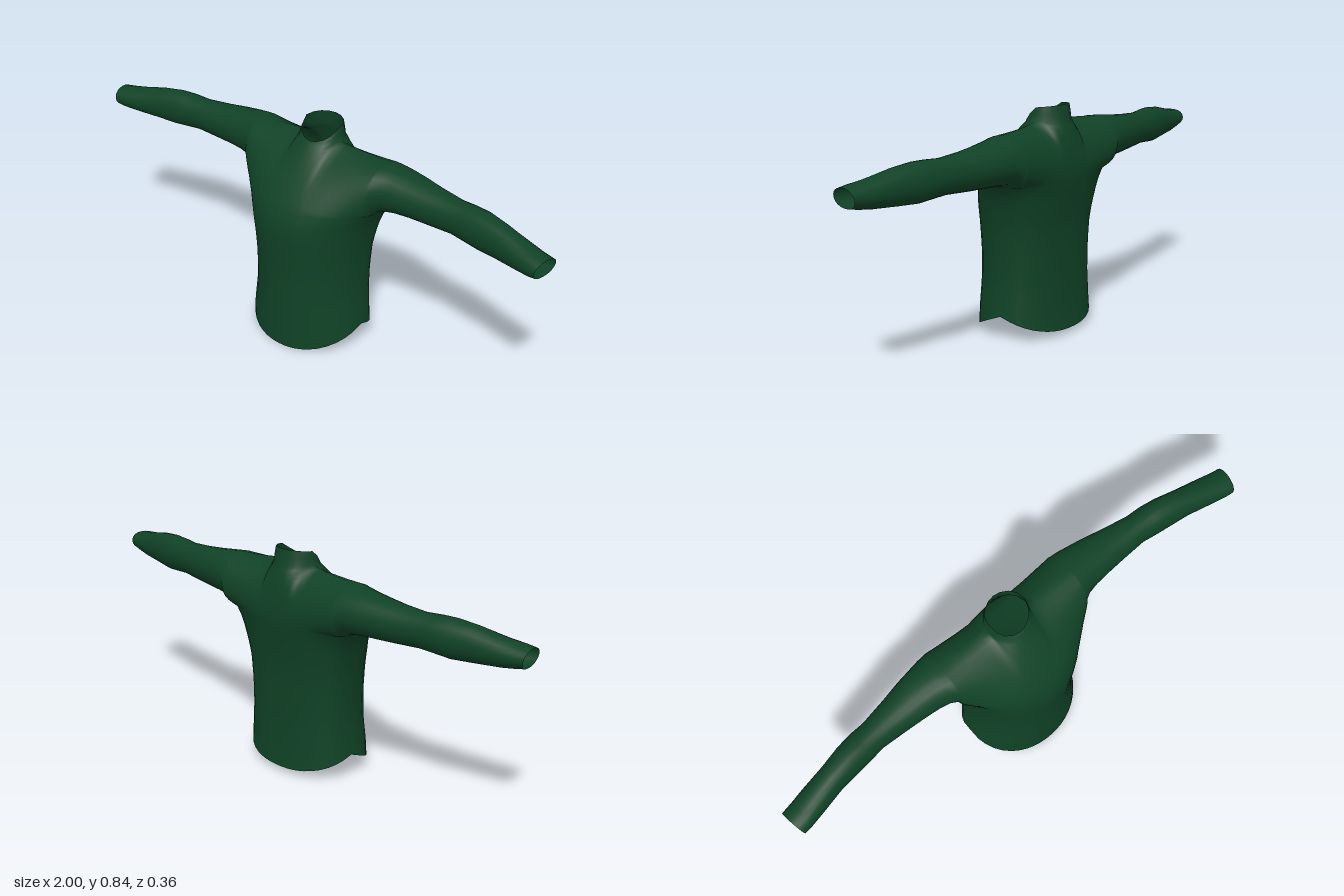
import * as THREE from 'three';
import { mergeVertices } from 'three/addons/utils/BufferGeometryUtils.js';

const lerp = THREE.MathUtils.lerp;
const V = (x, y, z) => new THREE.Vector3(x, y, z);
const ARMPIT = 0.575, NECK = 0.3;

// Torso profile: height, half width, front z, back z, side seam z
const TORSO = [
  [0, 0.235, 0.177, -0.173, -0.015], [0.08, 0.234, 0.176, -0.163, -0.02],
  [0.2, 0.221, 0.175, -0.156, -0.04], [0.3, 0.222, 0.175, -0.155, -0.045],
  [0.4, 0.23, 0.18, -0.157, -0.05], [0.48, 0.247, 0.184, -0.167, -0.06],
  [0.53, 0.262, 0.176, -0.174, -0.065], [ARMPIT, 0.29, 0.158, -0.181, -0.07],
];
// Sleeve sections: x, bottom y, top y, centre z, front z, back z
const SLEEVE = [
  [0.32, 0.587, 0.755, -0.073, 0.012, -0.174], [0.36, 0.593, 0.751, -0.078, 0.004, -0.167],
  [0.42, 0.597, 0.744, -0.08, -0.002, -0.157], [0.5, 0.6, 0.735, -0.075, -0.008, -0.14],
  [0.6, 0.605, 0.728, -0.066, -0.013, -0.121], [0.66, 0.601, 0.732, -0.059, -0.004, -0.118],
  [0.72, 0.596, 0.733, -0.052, 0.002, -0.109], [0.8, 0.6, 0.724, -0.038, 0.012, -0.09],
  [0.9, 0.607, 0.703, -0.02, 0.035, -0.073], [0.95, 0.613, 0.695, -0.008, 0.046, -0.062],
  [0.989, 0.62, 0.688, -0.002, 0.05, -0.053],
];
// Column positions across half the body, 0 = centre, 1 = side seam
const COLUMNS = [0, 0.1, 0.2, 0.27, NECK, 0.4, 0.52, 0.65, 0.77, 0.87, 0.94, 0.98, 1];

function profile(y) {
  let i = 0;
  while (i < TORSO.length - 2 && y > TORSO[i + 1][0]) i++;
  const p = TORSO[i], q = TORSO[i + 1], t = (y - p[0]) / (q[0] - p[0]);
  return p.map((v, k) => lerp(v, q[k], t));
}

// Point on the torso shell; s = 1 for the front panel, -1 for the back
function torsoPoint(a, y, s) {
  const [, w, front, back, seam] = profile(y);
  const p = s > 0 ? 2.1 : 2.5;
  const depth = Math.pow(Math.max(0, 1 - Math.pow(a, p)), 1 / p);
  return V(a * w, y, lerp(seam, s > 0 ? front : back, depth));
}

// Lower body column from the scooped hem to armpit height
function lowerColumn(a, s) {
  const depth = Math.sqrt(1 - a * a);
  const hem = s > 0 ? 0.09 * (1 - depth) : 0.02 + 0.07 * (1 - depth);
  return Array.from({ length: 15 }, (_, j) => torsoPoint(a, lerp(hem, ARMPIT, j / 14), s));
}

const bezier = (...p) => new THREE.CubicBezierCurve3(...p).getPoints(12);

// Neck ring points: seam at the base of the collar, then its rim
function neckBase(a, s) {
  const k = a / NECK, c = Math.sqrt(Math.max(0, 1 - k * k));
  return V(0.087 * k, 0.78 + c * (s > 0 ? -0.012 : 0.005), -0.067 + s * 0.08 * c);
}
function neckRim(a, s) {
  const k = a / NECK, c = Math.sqrt(Math.max(0, 1 - k * k));
  return V(0.078 * k, 0.83 + c * (s > 0 ? -0.052 : 0.008), -0.069 + s * 0.071 * c);
}

// Shoulder column from armpit height up to the neck or shoulder ridge
function yokeColumn(a, s) {
  const x = 0.29 * a, w = a * a;
  const t = Math.max(0, (a - NECK) / (1 - NECK));
  const top = a <= NECK ? neckBase(a, s)
    : V(x, lerp(0.78, 0.757, Math.pow(t, 0.6)), lerp(-0.067, -0.07, t));
  const p1 = s > 0 ? V(x, lerp(0.64, 0.575, w), lerp(0.125, 0.06, w))
    : V(x, lerp(0.65, 0.575, w), lerp(-0.184, -0.214, w));
  const p2 = s > 0 ? V(x, lerp(0.72, 0.757, w), lerp(0.05, 0.06, w))
    : V(x, lerp(0.72, 0.757, w), lerp(-0.167, -0.214, w));
  return bezier(torsoPoint(a, ARMPIT, s), p1, p2, top);
}

function collarColumn(a, s) {
  const base = neckBase(a, s), rim = neckRim(a, s);
  const mid = base.clone().lerp(rim, 0.5);
  mid.x = lerp(base.x, rim.x, 0.3);
  return [base, mid, rim];
}

// Half a sleeve section; the cuff opening is cut on a slant
function sleeveColumn([x, yb, yt, zc, zf, zb], s, isCuff) {
  const z = zc + ((s > 0 ? zf : zb) - zc) * 4 / 3;
  const pts = bezier(V(x, yb, zc), V(x, yb, z), V(x, yt, z), V(x, yt, zc));
  if (isCuff) pts.forEach(p => { p.x += 0.2 * (p.y - 0.654) - 0.15 * (p.z - zc); });
  return pts;
}

export function createModel() {
  const green = new THREE.MeshStandardMaterial({ color: 0x104226, side: THREE.DoubleSide });
  green.name = 'dark green knit';

  const positions = [], triangleParts = [];
  // Joins neighbouring columns with quads, mirrored by m
  function strip(part, columns, m, flip) {
    for (let i = 0; i + 1 < columns.length; i++) {
      for (let j = 0; j + 1 < columns[i].length; j++) {
        const a = columns[i][j], b = columns[i + 1][j];
        const c = columns[i + 1][j + 1], d = columns[i][j + 1];
        for (const tri of [[a, b, c], [a, c, d]]) {
          if (flip) tri.reverse();
          tri.forEach(p => positions.push(m * p.x, p.y, p.z));
          triangleParts.push(part);
        }
      }
    }
  }

  for (const m of [1, -1]) {
    for (const s of [1, -1]) {
      const flip = m * s < 0;
      strip('body', COLUMNS.map(a => lowerColumn(a, s)), m, flip);
      strip('shoulders', COLUMNS.map(a => yokeColumn(a, s)), m, flip);
      strip('collar', COLUMNS.filter(a => a <= NECK).map(a => collarColumn(a, s)), m, flip);
      const sections = SLEEVE.map((r, i) => sleeveColumn(r, s, i === SLEEVE.length - 1));
      strip(m > 0 ? 'leftSleeve' : 'rightSleeve', [yokeColumn(1, s), ...sections], m, flip);
    }
  }

  // Weld everything so shading runs smoothly across the seams
  const raw = new THREE.BufferGeometry();
  raw.setAttribute('position', new THREE.Float32BufferAttribute(positions, 3));
  const shell = mergeVertices(raw, 1e-4);
  shell.computeVertexNormals();

  // Split the welded shell into named parts
  const group = new THREE.Group();
  group.name = 'sweater';
  const index = Array.from(shell.index.array);
  for (const part of new Set(triangleParts)) {
    const piece = shell.clone();
    piece.setIndex(index.filter((_, i) => triangleParts[Math.floor(i / 3)] === part));
    const mesh = new THREE.Mesh(piece.toNonIndexed(), green);
    mesh.name = part;
    group.add(mesh);
  }
  return group;
}
